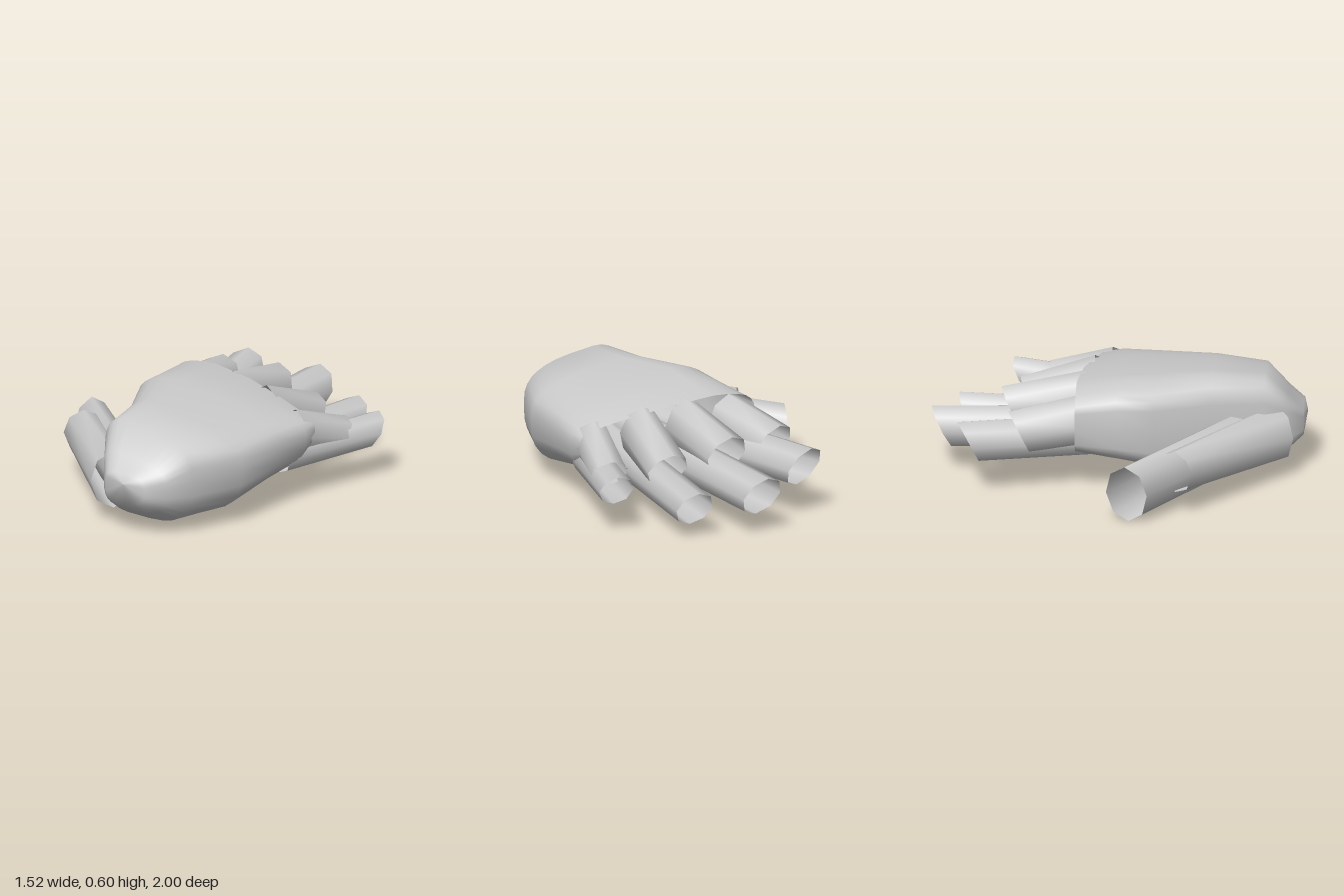
import * as THREE from 'three';

const material = new THREE.MeshStandardMaterial({ color: 0xcccccc, side: THREE.DoubleSide });

// Skin a list of closed rings (arrays of Vector3) with smooth normals
function loft(name, rings) {
  const n = rings[0].length, pos = [], idx = [];
  for (const ring of rings) for (const p of ring) pos.push(p.x, p.y, p.z);
  for (let i = 0; i < rings.length - 1; i++) {
    for (let j = 0; j < n; j++) {
      const a = i * n + j, b = i * n + (j + 1) % n;
      idx.push(a, a + n, b, b, a + n, b + n);
    }
  }
  const g = new THREE.BufferGeometry();
  g.setAttribute('position', new THREE.Float32BufferAttribute(pos, 3));
  g.setIndex(idx);
  g.computeVertexNormals();
  const mesh = new THREE.Mesh(g, material);
  mesh.name = name;
  return mesh;
}

// Open eight-sided tube; radii are [width, height], the far end is cut at a slant [sideways, upwards]
function segment(name, from, to, r0, r1, slant) {
  const a = new THREE.Vector3(...from), b = new THREE.Vector3(...to);
  const d = b.clone().sub(a).normalize();
  const s = d.clone().cross(new THREE.Vector3(0, 1, 0)).normalize();
  const u = s.clone().cross(d);
  const ring = (c, r, cut) => Array.from({ length: 8 }, (_, j) => {
    const t = (j / 8) * Math.PI * 2;
    return c.clone()
      .addScaledVector(s, r[0] * Math.cos(t))
      .addScaledVector(u, r[1] * Math.sin(t))
      .addScaledVector(d, cut[0] * Math.cos(t) + cut[1] * Math.sin(t));
  });
  return loft(name, [ring(a, r0, [0, 0]), ring(b, r1, slant)]);
}

// Palm cross-sections from wrist to knuckles: z, x min, x max, y min, y max
const PALM = [
  [1.0, 0.16, 0.16, 0.3, 0.3],
  [0.98, 0.03, 0.29, 0.19, 0.35],
  [0.9, -0.04, 0.38, 0.12, 0.45],
  [0.78, -0.12, 0.46, 0.045, 0.58],
  [0.5, -0.18, 0.58, 0.045, 0.595],
  [0.2, -0.33, 0.61, 0.1, 0.6],
  [0.0, -0.34, 0.64, 0.14, 0.59],
  [-0.22, -0.38, 0.63, 0.2, 0.56],
];

function palmMesh() {
  const sides = 28;
  const soft = (v, e) => Math.sign(v) * Math.abs(v) ** e;
  const rings = PALM.map(([z, x0, x1, y0, y1], i) => Array.from({ length: sides }, (_, j) => {
    const t = (j / sides) * Math.PI * 2, c = Math.cos(t), s = Math.sin(t);
    // Thumb side is squarer than the little-finger side
    const e = c < 0 ? 0.48 : 0.75;
    const x = (x0 + x1) / 2 + ((x1 - x0) / 2) * soft(c, e);
    let y = (y0 + y1) / 2 + ((y1 - y0) / 2) * soft(s, e);
    // Back of the hand drops towards the little finger
    if (i > 1) y -= 0.15 * Math.max(0, x + 0.05) * Math.max(0, s);
    // Knuckle line sweeps back towards the little finger
    const back = i === PALM.length - 1 ? 0.2 * Math.max(0, x) : 0;
    return new THREE.Vector3(x, y, z + back);
  }));
  return loft('palm', rings);
}

// Each finger: a long inner tube running into the palm and a shorter outer sleeve at the knuckle
const FINGERS = [
  { name: 'indexFinger', base: [-0.06, 0.27, 0.35], tip: [-0.345, 0.29, -0.79], r: 0.115,
    knuckle: [-0.235, 0.39, -0.16], joint: [-0.315, 0.34, -0.52], k0: [0.13, 0.145], k1: [0.12, 0.125] },
  { name: 'middleFinger', base: [0.07, 0.24, 0.4], tip: [0.005, 0.23, -0.94], r: 0.117,
    knuckle: [0.03, 0.41, -0.16], joint: [0.005, 0.35, -0.57], k0: [0.115, 0.15], k1: [0.12, 0.125] },
  { name: 'ringFinger', base: [0.2, 0.2, 0.42], tip: [0.345, 0.18, -0.81], r: 0.105,
    knuckle: [0.27, 0.4, -0.1], joint: [0.31, 0.29, -0.47], k0: [0.11, 0.15], k1: [0.115, 0.12] },
  { name: 'littleFinger', base: [0.5, 0.25, 0.05], tip: [0.67, 0.26, -0.54], r: 0.093,
    knuckle: [0.52, 0.36, -0.03], joint: [0.595, 0.28, -0.34], k0: [0.1, 0.13], k1: [0.1, 0.1] },
];

export function createModel() {
  const hand = new THREE.Group();
  hand.name = 'hand';
  hand.add(palmMesh());

  for (const f of FINGERS) {
    const finger = new THREE.Group();
    finger.name = f.name;
    finger.add(
      segment('fingertip', f.base, f.tip, [f.r, f.r], [f.r, f.r], [0, 0.06]),
      segment('knuckleSleeve', f.knuckle, f.joint, f.k0, f.k1, [0, 0.04]),
    );
    hand.add(finger);
  }

  // Thumb: tall outer tube with a second, shorter tube along its wrist side
  const thumb = new THREE.Group();
  thumb.name = 'thumb';
  thumb.add(
    segment('thumbTip', [0.0, 0.25, 0.75], [-0.72, 0.16, 0.073], [0.105, 0.15], [0.105, 0.16], [0.05, 0]),
    segment('thumbBase', [-0.02, 0.24, 0.84], [-0.592, 0.24, 0.328], [0.125, 0.16], [0.11, 0.115], [0.01, 0]),
  );
  hand.add(thumb);
  return hand;
}
